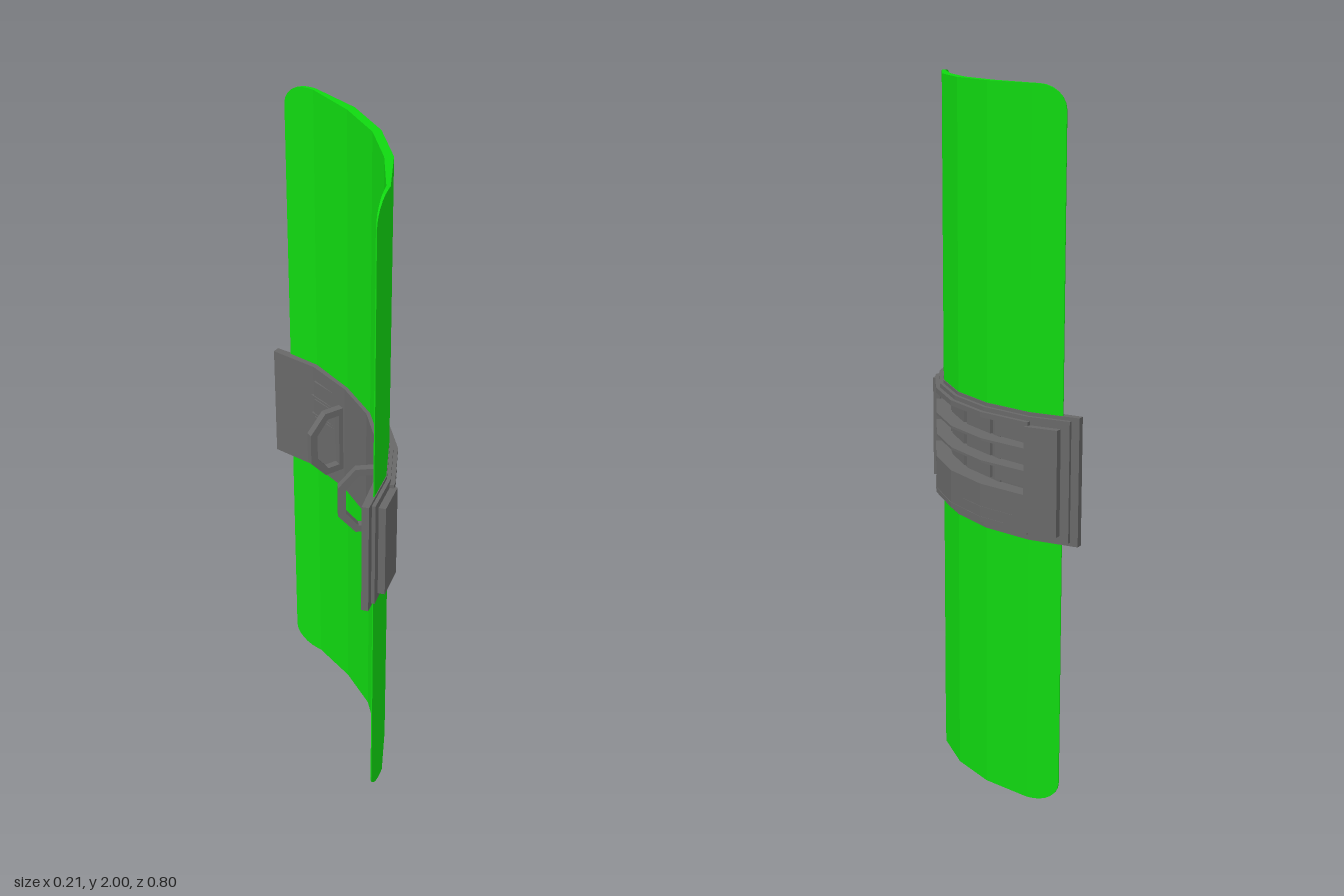
import * as THREE from 'three';

// Faceted horizontal curve of the shield's outer face: [z, x]
const half = [[0, 0.08], [0.145, 0.06], [0.285, 0], [0.45, -0.132]];
const curve = [...half.slice(1).reverse().map(([z, x]) => [-z, x]), ...half];

// Mitred outward direction at every bend, so offsets stay parallel to the facets
const normals = curve.slice(1).map(([z, x], i) => {
  const dz = z - curve[i][0], dx = x - curve[i][1], l = Math.hypot(dz, dx);
  return [dz / l, -dx / l];
});
const miters = curve.map((_, i) => {
  const a = normals[Math.max(i - 1, 0)], b = normals[Math.min(i, normals.length - 1)];
  const k = 1 + a[0] * b[0] + a[1] * b[1];
  return [(a[0] + b[0]) / k, (a[1] + b[1]) / k];
});

// Point on the curve at z, pushed outward by off
function at(z, off, y) {
  let i = 0;
  while (i < curve.length - 2 && z > curve[i + 1][0]) i++;
  const t = (z - curve[i][0]) / (curve[i + 1][0] - curve[i][0]);
  const mix = (a, b) => a + (b - a) * t;
  const nx = mix(miters[i][0], miters[i + 1][0]), nz = mix(miters[i][1], miters[i + 1][1]);
  return [mix(curve[i][1], curve[i + 1][1]) + nx * off, y, z + nz * off];
}

// Curved slab from z0 to z1; each limit is a number or a function of z
function slab(z0, z1, y0, y1, inner, outer, extra = []) {
  const val = (v, z) => (typeof v === 'function' ? v(z) : v);
  const zs = [z0, z1, ...[...curve.map((p) => p[0]), ...extra].filter((z) => z > z0 + 1e-4 && z < z1 - 1e-4)];
  const rings = [...new Set(zs)].sort((a, b) => a - b).map((z) => {
    const i = val(inner, z), o = val(outer, z), lo = val(y0, z), hi = val(y1, z);
    return [at(z, i, lo), at(z, o, lo), at(z, o, hi), at(z, i, hi)];
  });
  const pos = [];
  const quad = (a, b, c, d) => pos.push(...a, ...b, ...c, ...a, ...c, ...d);
  for (let r = 0; r < rings.length - 1; r++) {
    for (let k = 0; k < 4; k++) {
      const n = (k + 1) % 4;
      quad(rings[r][k], rings[r][n], rings[r + 1][n], rings[r + 1][k]);
    }
  }
  const s = rings[0], e = rings[rings.length - 1];
  quad(s[3], s[2], s[1], s[0]);
  quad(e[0], e[1], e[2], e[3]);
  const geo = new THREE.BufferGeometry();
  geo.setAttribute('position', new THREE.Float32BufferAttribute(pos, 3));
  geo.computeVertexNormals();
  return geo;
}

export function createModel() {
  const model = new THREE.Group();
  const green = new THREE.MeshStandardMaterial({ color: 0x10d810 });
  const grey = new THREE.MeshStandardMaterial({ color: 0x686868 });
  const add = (name, geo, mat = grey) => {
    const mesh = new THREE.Mesh(geo, mat);
    mesh.name = name;
    model.add(mesh);
    return mesh;
  };

  // Green panels above and below the band, thin at the sides, with rounded outer corners
  const W = 0.362, R = 0.065;
  const corner = (z) => {
    const d = Math.max(0, Math.abs(z) - (W - R));
    return R - Math.sqrt(Math.max(0, R * R - d * d));
  };
  const arc = [];
  for (let i = 0; i < 6; i++) {
    const z = W - R + R * Math.sin((i / 6) * Math.PI / 2);
    arc.push(z, -z);
  }
  const back = (z) => {
    const a = Math.abs(z);
    return a < 0.145 ? -0.024 : -0.024 + 0.021 * (a - 0.145) / (W - 0.145);
  };
  add('upperPanel', slab(-W, W, 1.1, (z) => 2 - corner(z), back, 0, arc), green);
  add('lowerPanel', slab(-W, W, corner, 0.9, back, 0, arc), green);

  // Band: a solid back shell, then stepped frames around the window opening
  const winLo = 0.908, winHi = 1.098, winZ = 0.288;
  const shell = (z) => -0.035 + 0.017 * Math.max(0, Math.abs(z) - 0.145) / 0.255;
  add('bandBack', slab(-0.4, 0.4, 0.775, 1.135, shell, (z) => shell(z) + 0.006));
  const layers = [
    [0.4, 0.775, 1.135, (z) => shell(z) + 0.004, 0.002],
    [0.382, 0.785, 1.125, 0, 0.012],
    [0.292, 0.797, 1.113, 0.01, 0.024],
  ];
  layers.forEach(([z, lo, hi, inner, outer], i) => {
    add('bandLower' + i, slab(-z, z, lo, winLo, inner, outer));
    add('bandUpper' + i, slab(-z, z, winHi, hi, inner, outer));
    add('bandSideLeft' + i, slab(winZ, z, winLo, winHi, inner, outer));
    add('bandSideRight' + i, slab(-z, -winZ, winLo, winHi, inner, outer));
  });

  // Raised plates at both ends of the band
  add('endPlateFront', slab(0.287, 0.362, 0.803, 1.102, 0.01, 0.032));
  add('endPlateRear', slab(-0.362, -0.287, 0.803, 1.102, 0.01, 0.032));

  // Three rows of four recessed panes, parted by thin ledges
  for (let row = 0; row < 3; row++) {
    const y = 0.94 + row * 0.063;
    for (const z of [-0.216, -0.072, 0.072, 0.216]) {
      add('pane', slab(z - 0.062, z + 0.062, y - 0.025, y + 0.025, -0.032, -0.02));
    }
    if (row) add('ledge', slab(-winZ, winZ, y - 0.035, y - 0.028, -0.032, 0.022));
  }

  // Fine ridges on the lower part of the band
  add('ridge', slab(-0.25, -0.06, 0.838, 0.843, 0.02, 0.0255));
  add('ridge', slab(-0.22, 0.25, 0.808, 0.813, 0.02, 0.0255));

  // D-shaped handles on the hollow side
  const outline = (t) => [
    [t, -0.11 + t], [0.068 - t * 0.4, -0.11 + t], [0.117 - t, -0.05 + t * 0.4],
    [0.117 - t, 0.05 - t * 0.4], [0.068 - t * 0.4, 0.11 - t], [t, 0.11 - t],
  ].map(([x, y]) => new THREE.Vector2(x, y));
  const shape = new THREE.Shape(outline(0));
  shape.holes.push(new THREE.Path(outline(0.022)));
  const handleGeo = new THREE.ExtrudeGeometry(shape, { depth: 0.02, bevelEnabled: false });
  handleGeo.translate(0, 0, -0.01);
  for (const s of [1, -1]) {
    const handle = add(s > 0 ? 'handleFront' : 'handleRear', handleGeo);
    handle.position.set(0.03, 0.955, s * 0.153);
    handle.rotation.y = s * (Math.PI - 0.215);
  }
  return model;
}
